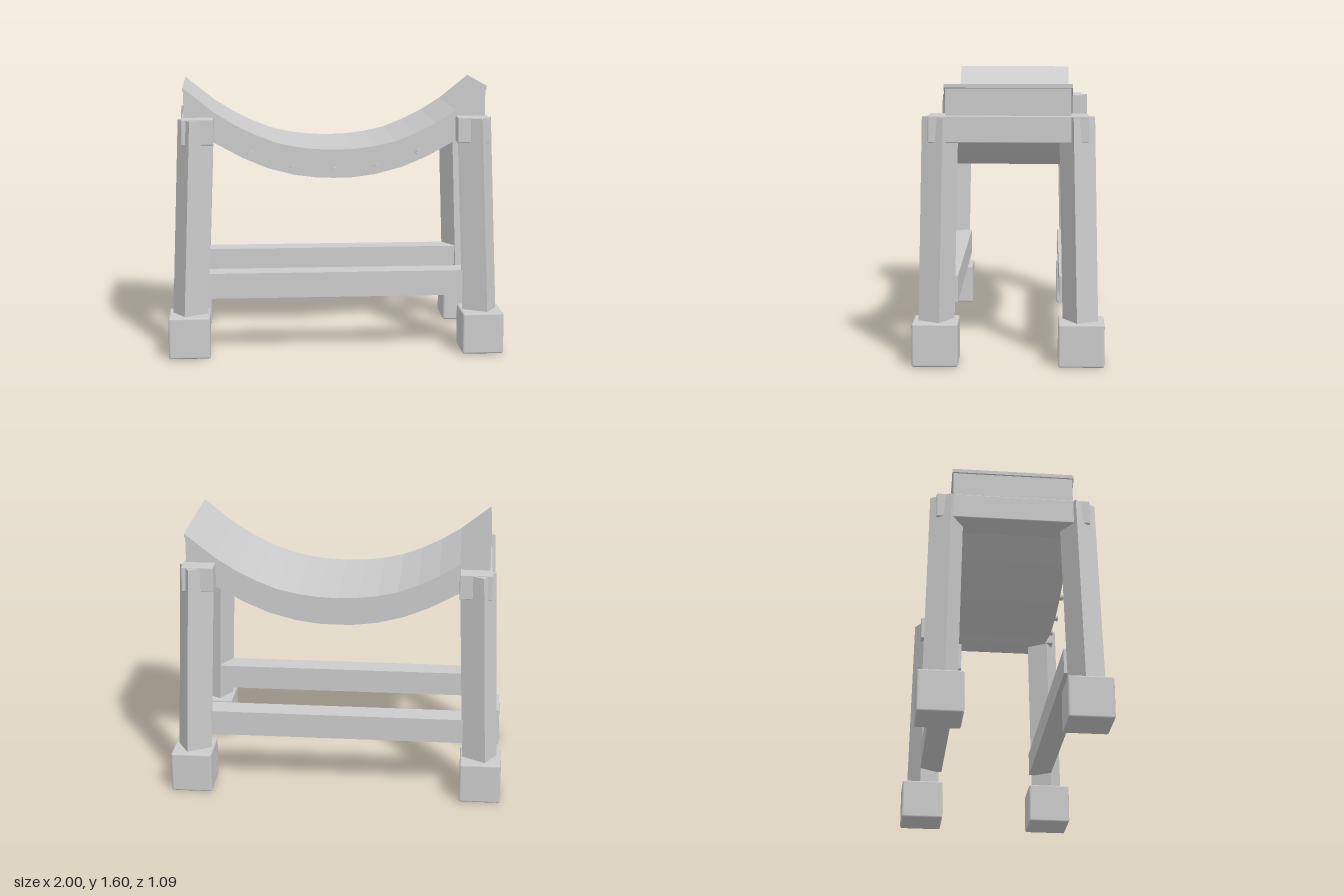
import * as THREE from 'three';
import { RoundedBoxGeometry } from 'three/addons/geometries/RoundedBoxGeometry.js';

export function createModel() {
  const model = new THREE.Group();
  model.name = 'curvedStool';
  const stone = new THREE.MeshStandardMaterial({ color: 0xcccccc });
  stone.name = 'pale grey';

  const add = (name, geometry, x = 0, y = 0, z = 0) => {
    const mesh = new THREE.Mesh(geometry, stone);
    mesh.name = name;
    mesh.position.set(x, y, z);
    model.add(mesh);
    return mesh;
  };

  // Symmetric curve from its right half, listed from the centre outwards
  const mirrorCurve = (half) => [
    ...half.slice(1).reverse().map(([x, y]) => [-x, y]),
    ...half,
  ];

  // Solid between an upper and a lower curve, extruded along z
  const curvedSlab = (upper, lower, depth) => {
    const outline = [...mirrorCurve(lower), ...mirrorCurve(upper).reverse()];
    const shape = new THREE.Shape(outline.map(([x, y]) => new THREE.Vector2(x, y)));
    return new THREE.ExtrudeGeometry(shape, { depth, bevelEnabled: false }).translate(0, 0, -depth / 2);
  };

  // Seat: thin curved top on a thicker curved body
  const seatTop = [[0, 1.22], [0.12, 1.225], [0.24, 1.24], [0.36, 1.268], [0.48, 1.315], [0.6, 1.375], [0.72, 1.45], [0.9, 1.595]];
  const seam = [[0, 1.185], [0.12, 1.19], [0.24, 1.206], [0.36, 1.236], [0.48, 1.282], [0.6, 1.343], [0.72, 1.418], [0.9, 1.573]];
  const seatBottom = [[0, 1.05], [0.1, 1.052], [0.24, 1.07], [0.4, 1.112], [0.55, 1.175], [0.72, 1.268], [0.895, 1.41]];
  const bodyTop = seam.map(([x, y]) => [Math.min(x, 0.895), y]);
  add('seatTop', curvedSlab(seatTop, seam, 0.72));
  add('seatBody', curvedSlab(bodyTop, seatBottom, 0.705));

  // Pegs along the front of the seat
  for (const [x, y] of mirrorCurve([[0, 1.095], [0.25, 1.115], [0.5, 1.2]])) {
    add('peg', new THREE.CylinderGeometry(0.02, 0.02, 0.04, 8).rotateX(Math.PI / 2), x, y, 0.36);
  }

  // Turned leg, sheared so that its top leans inwards
  const legGeometry = (sx, sz) => {
    const geometry = new THREE.BoxGeometry(0.16, 1.17, 0.14).rotateY((-sx * sz * Math.PI) / 6);
    const p = geometry.attributes.position;
    for (let i = 0; i < p.count; i++) {
      const t = p.getY(i) > 0 ? 1 : 0;
      p.setXYZ(i, p.getX(i) + sx * (0.87 - 0.045 * t), p.getY(i) + 0.825, p.getZ(i) + sz * (0.41 - 0.025 * t));
    }
    geometry.computeVertexNormals();
    return geometry;
  };

  for (const sx of [1, -1]) {
    add('crossBeam', new RoundedBoxGeometry(0.19, 0.152, 0.9, 1, 0.006), sx * 0.815, 1.341, 0);
    for (const sz of [1, -1]) {
      add('leg', legGeometry(sx, sz));
      add('foot', new RoundedBoxGeometry(0.247, 0.25, 0.262, 1, 0.012), sx * 0.8765, 0.125, sz * 0.414);
    }
  }

  // Long stretchers at the front and back
  for (const sz of [1, -1]) {
    add('stretcher', new THREE.BoxGeometry(1.64, 0.152, 0.14), 0, 0.415, sz * 0.36);
  }

  return model;
}
